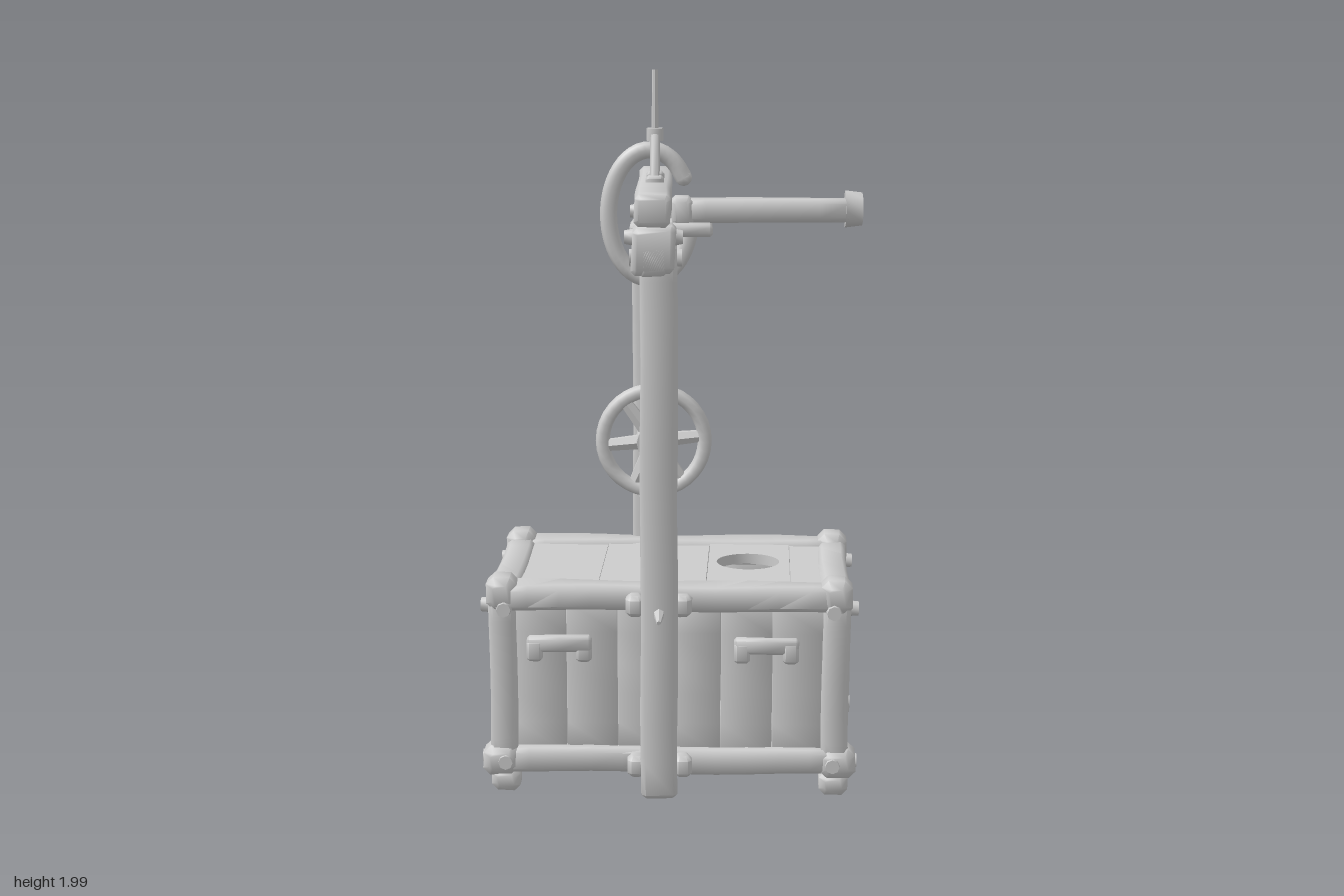
import * as THREE from 'three';
import { toCreasedNormals } from 'three/addons/utils/BufferGeometryUtils.js';

const grey = new THREE.MeshStandardMaterial({ color: 0xcccccc });
grey.name = 'pale grey';

function add(parent, name, geo, pos = [0, 0, 0]) {
  const m = new THREE.Mesh(geo, grey);
  m.name = name;
  m.position.set(...pos);
  parent.add(m);
  return m;
}

// Rough-hewn timber: chamfered bar along its longest side, gently warped
let seed = 1;
function timber(parent, name, pos, size, warp = 0.003, bevel = 0.012) {
  const axis = size.indexOf(Math.max(...size));
  const [w, h] = axis === 0 ? [size[2], size[1]] : axis === 1 ? [size[0], size[2]] : [size[0], size[1]];
  const len = size[axis];
  const b = Math.min(bevel, w / 4, h / 4);
  const x = w / 2 - b, y = h / 2 - b;
  const shape = new THREE.Shape([
    [-x, -y - b], [x, -y - b], [x + b, -y], [x + b, y], [x, y + b], [-x, y + b], [-x - b, y], [-x - b, -y],
  ].map(p => new THREE.Vector2(...p)));
  const geo = new THREE.ExtrudeGeometry(shape, {
    depth: len - 2 * b, steps: Math.max(1, Math.round(len / 0.09)),
    bevelEnabled: true, bevelThickness: b, bevelSize: b, bevelOffset: -b, bevelSegments: 1,
  });
  geo.translate(0, 0, -len / 2 + b);
  const k = seed++ * 1.7, p = geo.attributes.position;
  for (let i = 0; i < p.count; i++) {
    const z = p.getZ(i), u = p.getX(i), v = p.getY(i);
    p.setX(i, u + warp * Math.sin(z * 9 + k + v * 30));
    p.setY(i, v + warp * Math.sin(z * 11 + k * 2 + u * 30));
  }
  if (axis === 0) geo.rotateY(Math.PI / 2);
  if (axis === 1) geo.rotateX(-Math.PI / 2);
  return add(parent, name, toCreasedNormals(geo, 0.9), pos);
}

// Round bar between two points
function rod(parent, name, a, b, r, r2 = r, sides = 10) {
  const A = new THREE.Vector3(...a), B = new THREE.Vector3(...b);
  const d = B.clone().sub(A);
  const geo = toCreasedNormals(new THREE.CylinderGeometry(r2, r, d.length(), sides), 0.9);
  const m = add(parent, name, geo, A.clone().add(B).multiplyScalar(0.5).toArray());
  m.quaternion.setFromUnitVectors(new THREE.Vector3(0, 1, 0), d.normalize());
  return m;
}

function buildCrate() {
  const crate = new THREE.Group();
  crate.name = 'crate';
  // Rails, corner posts, feet and bolts
  for (const s of [-1, 1]) {
    for (const y of [0.102, 0.57]) {
      timber(crate, 'longRail', [0, y, s * 0.265], [0.98, 0.07, 0.09], 0.003);
      timber(crate, 'shortRail', [s * 0.46, y, 0], [0.08, 0.07, 0.5], 0.003);
    }
    for (const t of [-1, 1]) {
      timber(crate, 'cornerPost', [s * 0.462, 0.33, t * 0.263], [0.075, 0.52, 0.085], 0.003);
      timber(crate, 'cornerCap', [s * 0.462, 0.578, t * 0.267], [0.085, 0.095, 0.1], 0.002, 0.02);
      timber(crate, 'cornerBlock', [s * 0.47, 0.1, t * 0.267], [0.1, 0.085, 0.105], 0.002, 0.02);
      timber(crate, 'foot', [s * 0.46, 0.04, t * 0.262], [0.08, 0.065, 0.085], 0.002, 0.02);
      for (const y of [0.1, 0.54]) {
        rod(crate, 'sideBolt', [s * 0.48, y, t * 0.265], [s * 0.523, y, t * 0.265], 0.024, 0.02, 8);
        rod(crate, 'faceBolt', [s * 0.455, y, t * 0.29], [s * 0.455, y, t * 0.328], 0.024, 0.02, 8);
      }
    }
    // Plank walls
    for (let i = 0; i < 6; i++)
      timber(crate, 'wallPlank', [-0.358 + i * 0.143, 0.335, s * 0.262], [0.143, 0.44, 0.025], 0.001, 0.002);
    for (let i = 0; i < 3; i++)
      timber(crate, 'endPlank', [s * 0.455, 0.335, -0.155 + i * 0.155], [0.025, 0.44, 0.155], 0.001, 0.002);
    // Handles on the long walls
    for (const x of [-0.305, 0.27]) {
      timber(crate, 'handlePlate', [x, 0.435, s * 0.284], [0.18, 0.045, 0.03], 0.002, 0.008);
      for (const e of [-1, 1])
        timber(crate, 'handleTab', [x + e * 0.068, 0.415, s * 0.283], [0.044, 0.06, 0.032], 0.001, 0.008);
    }
    // Bail handles on the end walls
    const path = new THREE.CatmullRomCurve3([[0, 0.5, -0.095], [0.018, 0.465, -0.11], [0.024, 0.44, -0.07],
      [0.024, 0.438, 0.07], [0.018, 0.465, 0.11], [0, 0.5, 0.095]]
      .map(([x, y, z]) => new THREE.Vector3(s * (0.475 + x), y, z)));
    add(crate, 'bailHandle', new THREE.TubeGeometry(path, 24, 0.012, 7));
    timber(crate, 'bailPlate', [s * 0.472, 0.495, 0], [0.025, 0.04, 0.2], 0.001, 0.006);
  }
  // Lid planks, one with a round hole
  const edges = [-0.43, -0.2, -0.02, 0.1, 0.335, 0.43];
  for (let i = 0; i < 5; i++) {
    const a = edges[i] + 0.001, b = edges[i + 1] - 0.001;
    const s = new THREE.Shape([[a, -0.235], [b, -0.235], [b, 0.235], [a, 0.235]].map(p => new THREE.Vector2(...p)));
    if (i === 3) s.holes.push(new THREE.Path().absarc(0.215, 0.025, 0.09, 0, Math.PI * 2, true));
    const geo = new THREE.ExtrudeGeometry(s, { depth: 0.03, bevelEnabled: false, curveSegments: 20 });
    geo.rotateX(-Math.PI / 2);
    add(crate, 'lidPlank', toCreasedNormals(geo, 0.6), [0, 0.562 + (i % 2) * 0.003, 0]);
  }
  // Floor planks
  for (let i = 0; i < 4; i++)
    timber(crate, 'floorPlank', [0, 0.105, -0.18 + i * 0.12], [0.88, 0.025, 0.12], 0.001, 0.002);
  // Latch box on the back wall
  timber(crate, 'latchBox', [0.35, 0.255, -0.297], [0.115, 0.11, 0.05], 0.002);
  timber(crate, 'latchStrap', [0.35, 0.3, -0.31], [0.13, 0.03, 0.03], 0.002, 0.006);
  crate.rotation.y = -0.035;
  crate.position.z = -0.01;
  return crate;
}

function buildGantry() {
  const g = new THREE.Group();
  g.name = 'gantry';
  for (const s of [-1, 1]) {
    const x = s > 0 ? -0.037 : -0.07;
    timber(g, 'post', [x, 0.79, s * 0.333], [0.1, 1.54, 0.085], 0.002);
    timber(g, 'postCap', [-0.05, 1.548, s * 0.365], [0.115, 0.125, 0.14], 0.003);
    rod(g, 'capBolt', [-0.115, 1.52, s * 0.333], [0.025, 1.52, s * 0.333], 0.023, 0.023, 8);
    // Brackets tying the post to the crate
    for (const y of [0.1, 0.56])
      for (const e of [-1, 1])
        timber(g, 'postBracket', [x + e * 0.065, y, s * 0.312], [0.05, 0.06, 0.06], 0.002, 0.012);
    rod(g, 'peg', [x, 0.56, s * 0.33], [x, 0.54, s * 0.425], 0.024, 0.006, 6);
    // Bolts beside the upper cap
    for (const e of [-1, 1])
      rod(g, 'crossBolt', [-0.05 + e * 0.05, 1.575, s * 0.335], [-0.05 + e * 0.078, 1.575, s * 0.335], 0.024, 0.018, 8);
  }
  timber(g, 'topBeam', [-0.052, 1.655, -0.005], [0.095, 0.085, 0.93], 0.002);
  timber(g, 'lowerBeam', [-0.05, 1.525, 0], [0.08, 0.085, 0.87], 0.003);
  // Side arm with its mounting plate and end cap
  timber(g, 'armPlate', [-0.005, 1.562, -0.01], [0.23, 0.035, 0.185], 0.002, 0.008);
  timber(g, 'arm', [0.25, 1.612, -0.005], [0.5, 0.064, 0.082], 0.001);
  rod(g, 'armCap', [0.48, 1.615, -0.008], [0.528, 1.615, -0.008], 0.052, 0.046, 8);
  timber(g, 'armCollar', [0.025, 1.612, -0.005], [0.06, 0.08, 0.1], 0.002);
  return g;
}

function buildHoist() {
  const h = new THREE.Group();
  h.name = 'hoist';
  const X = -0.055;
  // Open hook around the beam
  const pts = [];
  for (let i = 0; i <= 20; i++) {
    const a = THREE.MathUtils.degToRad(35 + i * 16.4);
    pts.push(new THREE.Vector3(0.115 * Math.cos(a), 0.18 * Math.sin(a), 0));
  }
  const hook = add(h, 'hook', new THREE.TubeGeometry(new THREE.CatmullRomCurve3(pts), 48, 0.024, 8), [-0.065, 1.6, 0]);
  for (const p of [pts[0], pts[20]])
    add(hook, 'hookTip', new THREE.SphereGeometry(0.024, 8, 6), p.toArray());
  // Upper rope, collar and sling
  rod(h, 'rope', [-0.05, 1.8, 0], [-0.05, 2, 0], 0.01, 0.008, 8);
  rod(h, 'ropeCollar', [-0.05, 1.805, 0], [-0.05, 1.84, 0], 0.024, 0.024, 8);
  for (const s of [-1, 1]) {
    rod(h, 'sling', [-0.05, 1.82, s * 0.012], [-0.05, 1.69, s * 0.062], 0.014, 0.013, 8);
    timber(h, 'slingFoot', [-0.05, 1.7, s * 0.062], [0.05, 0.03, 0.045], 0.001, 0.008);
  }
  // Chain with alternating links
  for (let i = 0; i < 7; i++) {
    const link = add(h, 'chainLink', new THREE.TorusGeometry(0.02, 0.008, 6, 14), [X, 1.385 - i * 0.041, 0]);
    link.rotation.y = (i % 2) * Math.PI / 2 + 0.3;
    link.scale.y = 1.35;
  }
  // Spoked wheel
  const wheel = new THREE.Group();
  wheel.name = 'wheel';
  wheel.position.set(X, 0.957, 0);
  add(wheel, 'rim', new THREE.TorusGeometry(0.145, 0.02, 8, 36)).scale.z = 1.6;
  for (let i = 0; i < 6; i++) {
    const a = i * Math.PI / 3 + 0.1;
    rod(wheel, 'spoke', [0, 0, 0], [0.14 * Math.cos(a), 0.14 * Math.sin(a), 0], 0.024, 0.018, 6);
  }
  rod(wheel, 'hub', [0, 0, -0.045], [0, 0, 0.045], 0.052, 0.048, 12);
  rod(wheel, 'hubBolt', [0, 0, 0.04], [0, 0, 0.07], 0.036, 0.03, 8);
  rod(wheel, 'crank', [0, 0, -0.03], [0, 0, -0.25], 0.038, 0.033);
  rod(wheel, 'crankCap', [0, 0, -0.235], [0, 0, -0.28], 0.046, 0.042, 8);
  // Link block where the chain meets the rim
  timber(wheel, 'rimShackle', [0, 0.15, 0], [0.04, 0.05, 0.045], 0.001);
  h.add(wheel);
  // Lower rope end
  rod(h, 'ropeTail', [X, 0.67, 0], [X, 0.8, 0], 0.009, 0.011, 8);
  return h;
}

export function createModel() {
  const model = new THREE.Group();
  model.name = 'wellHoist';
  model.add(buildCrate(), buildGantry(), buildHoist());
  return model;
}
